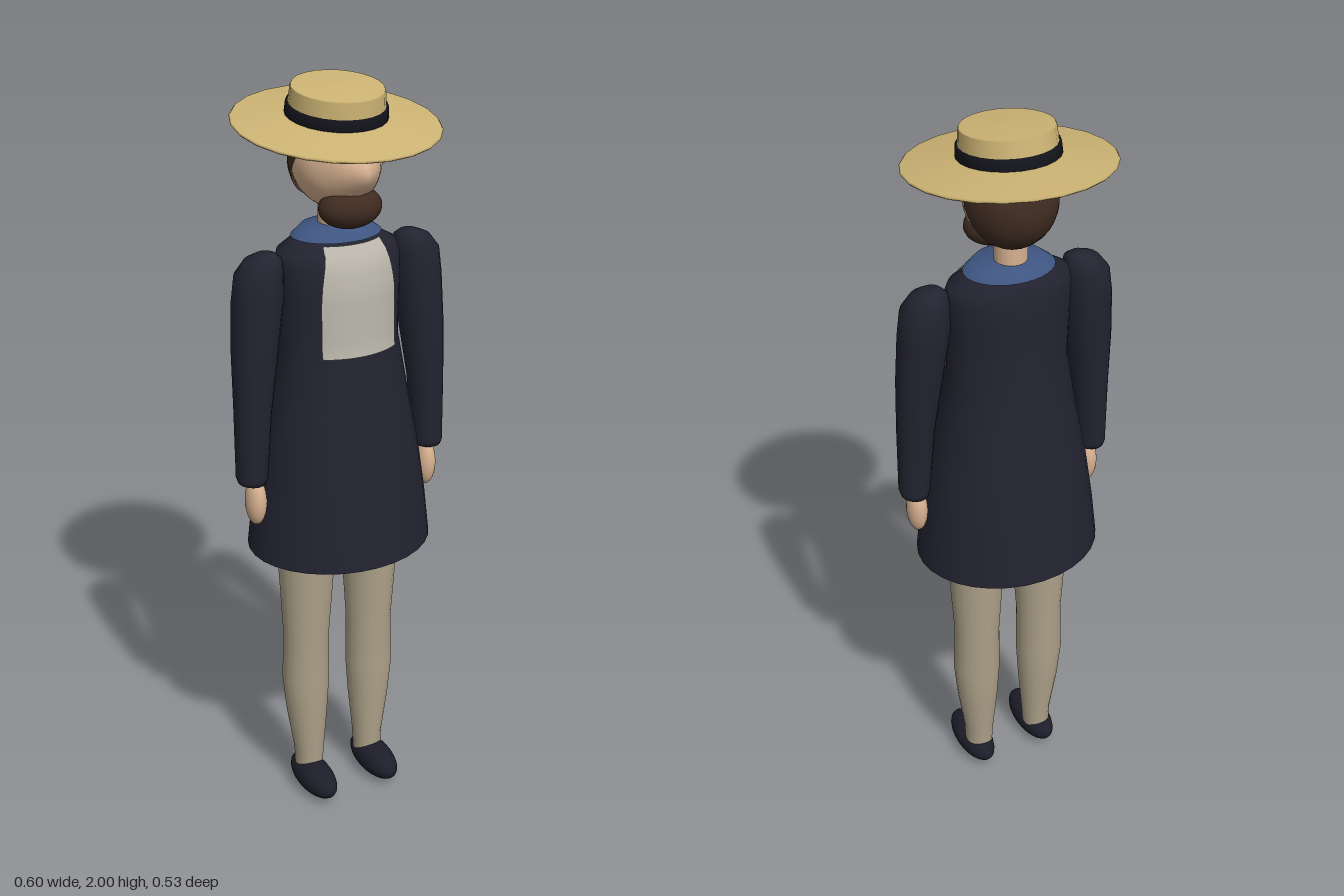
import * as THREE from 'three';

const mat = (name, color, side = THREE.FrontSide) => {
  const m = new THREE.MeshStandardMaterial({ color, side });
  m.name = name;
  return m;
};

// Smooth grid surface from rows of points; wrap joins each row into a ring.
function surface(rows, wrap) {
  const n = rows[0].length, pos = rows.flat(2), idx = [];
  for (let i = 0; i < rows.length - 1; i++) {
    for (let j = 0; j < (wrap ? n : n - 1); j++) {
      const k = (j + 1) % n;
      const a = i * n + j, b = i * n + k, c = (i + 1) * n + k, d = (i + 1) * n + j;
      idx.push(a, b, c, a, c, d);
    }
  }
  const g = new THREE.BufferGeometry();
  g.setAttribute('position', new THREE.Float32BufferAttribute(pos, 3));
  g.setIndex(idx);
  g.computeVertexNormals();
  return g;
}

// Stack of elliptical rings [y, centreX, centreZ, radiusX, radiusZ], bottom to top.
function loft(rings, sides = 24, grow = 0) {
  return surface(rings.map(([y, cx, cz, rx, rz]) =>
    Array.from({ length: sides }, (_, j) => {
      const a = (j / sides) * Math.PI * 2;
      return [cx + (rx + grow) * Math.sin(a), y + grow, cz + (rz + grow) * Math.cos(a)];
    })), true);
}

const ball = (x, y, z, rx, ry, rz) =>
  new THREE.SphereGeometry(1, 24, 16).scale(rx, ry, rz).translate(x, y, z);

const COAT = [
  [0.775, 0, 0.015, 0.25, 0.215], [0.9, 0, 0.015, 0.236, 0.203],
  [1.05, 0, 0.015, 0.214, 0.182], [1.2, 0, 0.015, 0.184, 0.155],
  [1.35, 0, 0.012, 0.16, 0.124], [1.5, 0, 0.01, 0.166, 0.12],
  [1.56, 0, 0.007, 0.167, 0.112], [1.59, 0, 0.003, 0.16, 0.102],
  [1.615, 0, 0, 0.115, 0.088], [1.636, 0, 0, 0.088, 0.076], [1.642, 0, -0.005, 0.035, 0.03],
];
const ARM = [
  [0.996, 0.26, 0.03, 0, 0], [1.0, 0.26, 0.03, 0.036, 0.041], [1.015, 0.26, 0.03, 0.041, 0.045],
  [1.2, 0.252, 0.027, 0.049, 0.05], [1.35, 0.24, 0.02, 0.06, 0.058],
  [1.48, 0.227, 0.014, 0.066, 0.064], [1.55, 0.222, 0.014, 0.062, 0.06],
  [1.585, 0.21, 0.014, 0.047, 0.045], [1.598, 0.203, 0.014, 0.025, 0.025], [1.6, 0.2, 0.014, 0, 0],
];
const LEG = [
  [0.06, 0.094, 0.012, 0.038, 0.042], [0.12, 0.093, 0.012, 0.041, 0.044],
  [0.25, 0.097, 0.009, 0.057, 0.056], [0.36, 0.099, 0.008, 0.066, 0.063],
  [0.5, 0.097, 0.008, 0.063, 0.063], [0.75, 0.096, 0.01, 0.078, 0.081], [1.0, 0.09, 0.01, 0.08, 0.085],
];

// Coat radii at any height, for laying the shirt front on the chest.
function coatAt(y) {
  const i = Math.max(1, COAT.findIndex((r) => r[0] >= y));
  const a = COAT[i - 1], b = COAT[i], t = (y - a[0]) / (b[0] - a[0]);
  return a.map((v, k) => v + (b[k] - v) * t);
}

export function createModel() {
  const group = new THREE.Group();
  const D = THREE.DoubleSide;
  const straw = mat('straw', 0xcdb474, D), band = mat('black ribbon', 0x14151c, D);
  const skin = mat('skin', 0xd8b291), hair = mat('dark brown hair', 0x3f2c21, D);
  const navy = mat('navy cloth', 0x232331, D), blue = mat('blue collar', 0x3f5682, D);
  const linen = mat('linen shirt', 0xbab6ab, D), trouser = mat('beige trousers', 0xaea28a, D);
  const leather = mat('dark leather', 0x1d1e2a);
  const add = (name, geo, material, parent = group) => {
    const m = new THREE.Mesh(geo, material);
    m.name = name;
    parent.add(m);
    return m;
  };

  // Coat with collar and shirt front
  add('coat', loft(COAT, 32), navy);
  add('collar', loft(COAT.slice(-3), 32, 0.004), blue);
  const rows = [];
  for (let i = 0; i <= 12; i++) {
    const y = 1.335 + 0.278 * (i / 12);
    const [, , cz, rx, rz] = coatAt(y);
    const half = 0.08 + 0.025 * Math.sin(Math.min(1, (1 - i / 12) * 1.9) * Math.PI / 2);
    rows.push(Array.from({ length: 13 }, (_, j) => {
      const x = 0.005 + half * (j / 6 - 1);
      return [x, y, cz + rz * Math.sqrt(Math.max(0, 1 - (x / rx) ** 2)) + 0.005];
    }));
  }
  add('shirtFront', surface(rows, false), linen);

  // Limbs on both sides
  for (const s of [1, -1]) {
    const side = s > 0 ? 'left' : 'right';
    const mirror = (rings) => rings.map(([y, cx, ...r]) => [y, s * cx, ...r]);
    add(side + 'Arm', loft(mirror(ARM), 16), navy);
    add(side + 'Hand', ball(s * 0.253, 0.945, 0.035, 0.027, 0.066, 0.035), skin);
    add(side + 'Leg', loft(mirror(LEG), 20), trouser);
    add(side + 'Shoe', ball(s * 0.097, 0.045, 0.048, 0.048, 0.045, 0.108), leather);
  }

  // Neck and head, with the face drawn forward to a nose ridge
  add('neck', new THREE.CylinderGeometry(0.042, 0.042, 0.15, 20).translate(0, 1.68, -0.008), skin);
  const head = new THREE.SphereGeometry(1, 32, 24).scale(0.111, 0.12, 0.122).translate(0, 1.805, 0);
  const p = head.attributes.position;
  for (let i = 0; i < p.count; i++) {
    if (p.getZ(i) <= 0) continue;
    const ridge = Math.max(0, 1 - Math.abs(p.getX(i)) / 0.08);
    const bump = Math.exp(-(((p.getY(i) - 1.8) / 0.055) ** 2));
    p.setZ(i, p.getZ(i) + 0.042 * ridge * bump);
  }
  head.computeVertexNormals();
  add('head', head, skin);
  add('hair', new THREE.SphereGeometry(1, 32, 14, 0, Math.PI * 2, 0, Math.PI / 2)
    .rotateX(-1.05).scale(0.118, 0.126, 0.128).translate(0, 1.805, 0), hair);
  add('beard', ball(0, 1.703, 0.073, 0.083, 0.053, 0.061), hair);

  // Straw hat, tipped forward
  const hat = new THREE.Group();
  hat.name = 'hat';
  hat.position.set(0, 1.897, 0);
  hat.rotation.x = 0.113;
  hat.scale.x = 0.963;
  group.add(hat);
  const lathe = (pts) => new THREE.LatheGeometry(pts.map(([x, y]) => new THREE.Vector2(x, y)), 24);
  add('crown', lathe([[0.126, 0.018], [0.119, 0.086], [0.117, 0.089], [0, 0.093]]), straw, hat);
  add('brim', lathe([[0.11, 0.012], [0.264, -0.006], [0.268, -0.002], [0.264, 0.002], [0.12, 0.02]]), straw, hat);
  add('hatBand', lathe([[0.125, 0.018], [0.131, 0.019], [0.129, 0.046], [0.121, 0.047]]), band, hat);
  return group;
}
